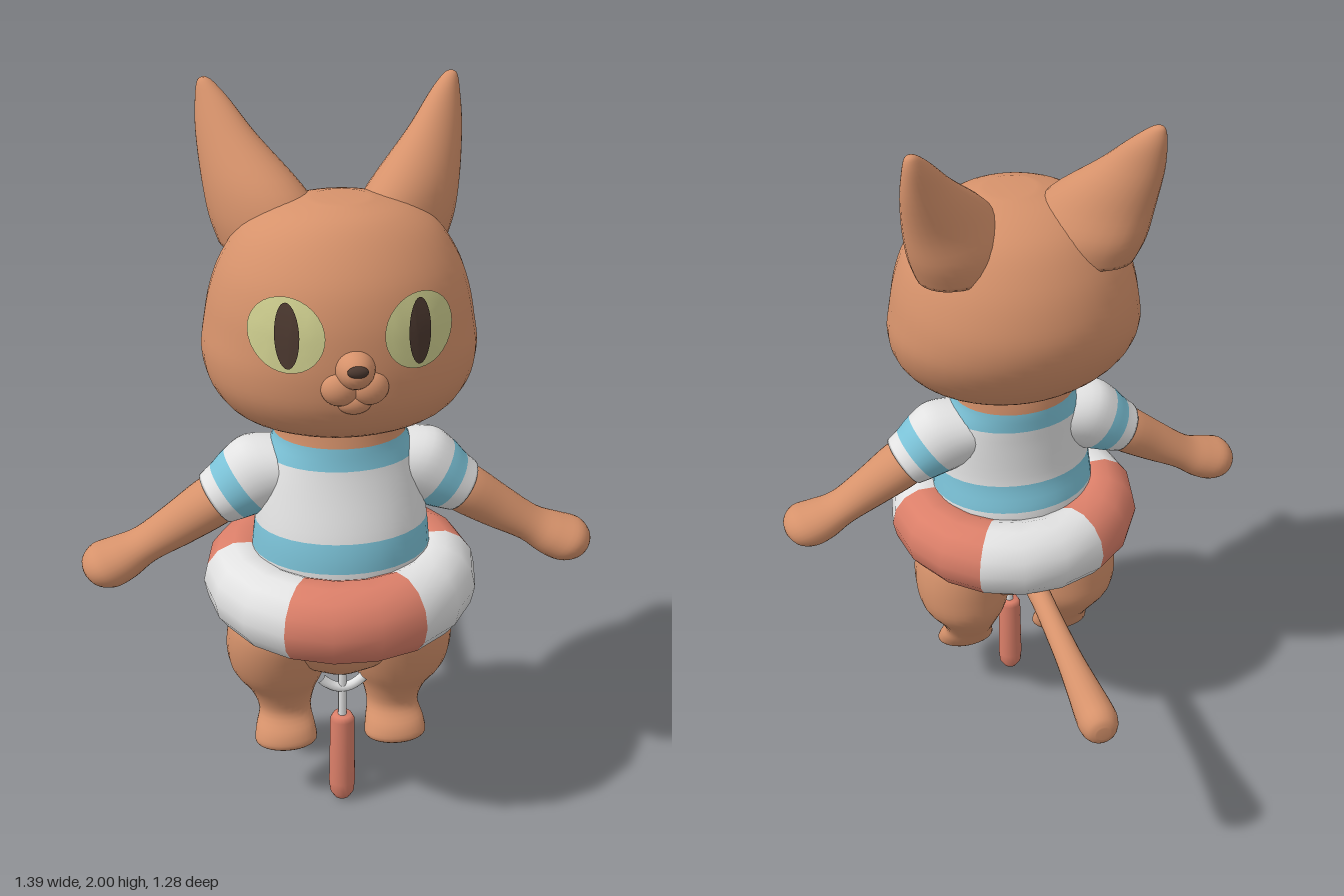
import * as THREE from 'three';

const mat = (name, color) => Object.assign(new THREE.MeshStandardMaterial({ color }), { name });

// Skin through elliptical rings [x, y, z, ru, rv, material], spline-smoothed; u x v points along the rings.
function loft(rings, u, v, mats, n = 28, sub = 4) {
  const pos = [], idx = [], geo = new THREE.BufferGeometry();
  const at = (i, k) => rings[Math.min(Math.max(i, 0), rings.length - 1)][k];
  const rows = [];
  for (let i = 0; i < rings.length - 1; i++) {
    for (let s = 0; s < sub; s++) {
      const t = s / sub;
      rows.push([0, 1, 2, 3, 4].map((k) => {
        const [a, b, c, d] = [at(i - 1, k), at(i, k), at(i + 1, k), at(i + 2, k)];
        return b + 0.5 * t * (c - a + t * (2 * a - 5 * b + 4 * c - d + t * (3 * (b - c) + d - a)));
      }));
    }
  }
  rows.push(rings[rings.length - 1]);
  for (const [x, y, z, ru, rv] of rows) {
    for (let j = 0; j < n; j++) {
      const a = (j / n) * Math.PI * 2, c = Math.cos(a) * ru, s = Math.sin(a) * rv;
      pos.push(x + u[0] * c + v[0] * s, y + u[1] * c + v[1] * s, z + u[2] * c + v[2] * s);
    }
  }
  const last = rows.length - 1, c0 = rows.length * n, c1 = c0 + 1;
  pos.push(...rows[0].slice(0, 3), ...rows[last].slice(0, 3));
  rings.slice(0, -1).forEach((ring, i) => {
    const start = idx.length;
    for (let r = i * sub; r < (i + 1) * sub; r++) {
      for (let j = 0; j < n; j++) {
        const k = (j + 1) % n, a = r * n + j, b = r * n + k;
        idx.push(a, b, a + n, b, b + n, a + n);
        if (r === 0) idx.push(c0, k, j);
        if (r === last - 1) idx.push(c1, last * n + j, last * n + k);
      }
    }
    if (Array.isArray(mats)) geo.addGroup(start, idx.length - start, ring[5] || 0);
  });
  geo.setAttribute('position', new THREE.Float32BufferAttribute(pos, 3));
  geo.setIndex(idx);
  geo.computeVertexNormals();
  return new THREE.Mesh(geo, mats);
}

// Copy reflected across x = 0
function mirrored(mesh) {
  const geo = mesh.geometry.clone().scale(-1, 1, 1);
  const ix = geo.index.array;
  for (let i = 0; i < ix.length; i += 3) [ix[i + 1], ix[i + 2]] = [ix[i + 2], ix[i + 1]];
  geo.computeVertexNormals();
  return new THREE.Mesh(geo, mesh.material);
}

export function createModel() {
  const model = new THREE.Group();
  const fur = mat('fur', 0xd6926b), white = mat('white', 0xe2e2e2), blue = mat('blue', 0x7cc3d8);
  const coral = mat('coral', 0xdb7f69), iris = mat('iris', 0xcdcd8e), dark = mat('dark', 0x4b382f);
  const cloth = [fur, white, blue];
  const X = [1, 0, 0], Y = [0, 1, 0], Z = [0, 0, 1], h = Math.SQRT1_2;

  const add = (mesh, name) => { mesh.name = name; model.add(mesh); return mesh; };
  const pair = (mesh, name) => {
    add(mesh, name + 'Left');
    add(mirrored(mesh), name + 'Right');
  };
  const ball = (name, m, p, r) => {
    const mesh = add(new THREE.Mesh(new THREE.SphereGeometry(1, 24, 16), m), name);
    mesh.position.set(...p);
    mesh.scale.set(...r);
  };
  const rod = (name, r, a, b) => add(new THREE.Mesh(new THREE.TubeGeometry(
    new THREE.LineCurve3(new THREE.Vector3(...a), new THREE.Vector3(...b)), 1, r, 10), white), name);

  // Head: [y, half width, back z, front z]
  const head = add(loft([
    [1.15, 0.12, 0.16, 0.36], [1.17, 0.2, 0.1, 0.42], [1.21, 0.28, 0.045, 0.485], [1.28, 0.335, -0.02, 0.53],
    [1.36, 0.355, -0.065, 0.545], [1.44, 0.346, -0.08, 0.545], [1.52, 0.33, -0.065, 0.535],
    [1.6, 0.3, -0.03, 0.508], [1.68, 0.245, 0.03, 0.455], [1.73, 0.165, 0.11, 0.4], [1.755, 0.07, 0.2, 0.33],
  ].map(([y, w, b, f]) => [0, y, (b + f) / 2, (f - b) / 2, w]), Z, X, fur, 40), 'head');

  // Ears
  pair(loft([
    [0.165, 1.6, 0.15, 0.15, 0.11], [0.175, 1.67, 0.145, 0.17, 0.115], [0.21, 1.76, 0.125, 0.15, 0.093],
    [0.267, 1.87, 0.065, 0.092, 0.058], [0.298, 1.95, 0.025, 0.05, 0.034], [0.314, 1.99, 0.008, 0.022, 0.018],
    [0.317, 2, 0.005, 0.006, 0.006],
  ], [h, 0, -h], [-h, 0, -h], fur), 'ear');

  // Muzzle
  ball('snout', fur, [0, 1.405, 0.53], [0.05, 0.05, 0.068]);
  for (const s of [-1, 1]) ball('muzzleCheek', fur, [s * 0.036, 1.355, 0.532], [0.048, 0.045, 0.038]);
  ball('chin', fur, [0, 1.315, 0.525], [0.045, 0.032, 0.03]);
  ball('nose', dark, [0, 1.418, 0.59], [0.026, 0.015, 0.014]);

  // Eyes: thin discs laid on the head surface
  head.updateMatrixWorld(true);
  const ray = new THREE.Raycaster();
  const eyePlate = (rx, ry, lift, m) => {
    const geo = new THREE.RingGeometry(0.001, 1, 32, 5).scale(rx, ry, 1).translate(0.162, 1.485, 0);
    const p = geo.attributes.position;
    for (let i = 0; i < p.count; i++) {
      ray.set(new THREE.Vector3(p.getX(i), p.getY(i), 2), new THREE.Vector3(0, 0, -1));
      p.setZ(i, ray.intersectObject(head)[0].point.z + lift);
    }
    geo.computeVertexNormals();
    return new THREE.Mesh(geo, m);
  };
  pair(eyePlate(0.09, 0.092, 0.005, iris), 'eye');
  pair(eyePlate(0.029, 0.08, 0.009, dark), 'pupil');

  // Body with striped shirt and neck
  add(loft([
    [0, 0.42, 0.27, 0.08, 0.08], [0, 0.46, 0.26, 0.13, 0.18], [0, 0.53, 0.26, 0.165, 0.28],
    [0, 0.62, 0.265, 0.18, 0.28], [0, 0.74, 0.275, 0.205, 0.245, 1], [0, 0.81, 0.28, 0.205, 0.238, 2],
    [0, 0.89, 0.285, 0.187, 0.23, 1], [0, 1, 0.27, 0.165, 0.215, 1], [0, 1.07, 0.26, 0.155, 0.197, 2],
    [0, 1.13, 0.255, 0.15, 0.175], [0, 1.2, 0.255, 0.14, 0.18],
  ], Z, X, cloth, 36), 'body');

  // Arms with sleeves
  pair(loft([
    [0.1, 1.03, 0.25, 0.09, 0.1, 1], [0.19, 1.015, 0.25, 0.11, 0.105, 1], [0.25, 0.985, 0.25, 0.1, 0.1, 2],
    [0.295, 0.955, 0.25, 0.085, 0.092, 1], [0.33, 0.935, 0.25, 0.075, 0.085, 0],
  ], [0.57, 0.82, 0], Z, cloth), 'sleeve');
  pair(loft([
    [0.29, 0.955, 0.25, 0.06, 0.07], [0.34, 0.925, 0.25, 0.068, 0.077], [0.43, 0.865, 0.25, 0.06, 0.064],
    [0.52, 0.81, 0.25, 0.05, 0.061], [0.58, 0.778, 0.255, 0.06, 0.075], [0.63, 0.758, 0.26, 0.064, 0.081],
    [0.665, 0.742, 0.26, 0.046, 0.06], [0.68, 0.735, 0.26, 0.02, 0.025],
  ], [0.57, 0.82, 0], Z, fur), 'arm');

  // Legs and feet
  pair(loft([
    [0.15, 0.62, 0.265, 0.13, 0.15], [0.16, 0.56, 0.262, 0.145, 0.16], [0.168, 0.48, 0.25, 0.145, 0.152],
    [0.168, 0.4, 0.236, 0.13, 0.132], [0.158, 0.33, 0.235, 0.092, 0.09], [0.153, 0.27, 0.25, 0.073, 0.06],
    [0.155, 0.225, 0.282, 0.083, 0.062], [0.155, 0.19, 0.3, 0.086, 0.054], [0.155, 0.17, 0.3, 0.06, 0.034],
  ], X, Z, fur), 'leg');

  // Tail
  add(loft([
    [0, 0.56, 0.15, 0.09, 0.07], [0, 0.572, 0.06, 0.046, 0.04], [0, 0.577, -0.05, 0.036, 0.032],
    [0, 0.585, -0.3, 0.035, 0.037], [0, 0.59, -0.45, 0.045, 0.046], [0, 0.592, -0.55, 0.057, 0.053],
    [0, 0.593, -0.6, 0.057, 0.053], [0, 0.593, -0.63, 0.042, 0.04], [0, 0.593, -0.64, 0.02, 0.02],
  ], Y, X, fur, 20), 'tail');

  // Swim ring: six alternating sections
  for (let k = 0; k < 6; k++) {
    const geo = new THREE.TorusGeometry(0.265, 0.105, 14, 3, Math.PI / 3)
      .rotateZ(Math.PI / 3 * (k + 1)).rotateX(Math.PI / 2).scale(1, 1.05, 1);
    add(new THREE.Mesh(geo, k % 2 ? white : coral), 'swimRingSection').position.set(0, 0.7, 0.272);
  }

  // Handle, rod, curved bar and small pins
  const grip = [[0, 0], [0.022, 0.005], [0.034, 0.025], [0.037, 0.06], [0.034, 0.265], [0.026, 0.28], [0, 0.28]];
  add(new THREE.Mesh(new THREE.LatheGeometry(grip.map((p) => new THREE.Vector2(...p)), 20), coral), 'handle')
    .position.z = 0.33;
  rod('handleRod', 0.012, [0, 0.27, 0.33], [0, 0.57, 0.33]);
  const bar = new THREE.QuadraticBezierCurve3(new THREE.Vector3(-0.06, 0.4, 0.33),
    new THREE.Vector3(0, 0.335, 0.33), new THREE.Vector3(0.06, 0.4, 0.33));
  add(new THREE.Mesh(new THREE.TubeGeometry(bar, 12, 0.014, 10), white), 'curvedBar');
  for (const x of [-0.1, 0, 0.1]) {
    rod('pin', 0.01, [x, 0.573, 0.3], [x, 0.573, 0.48]);
    ball('pinTip', white, [x, 0.573, 0.48], [0.01, 0.01, 0.01]);
  }
  return model;
}
